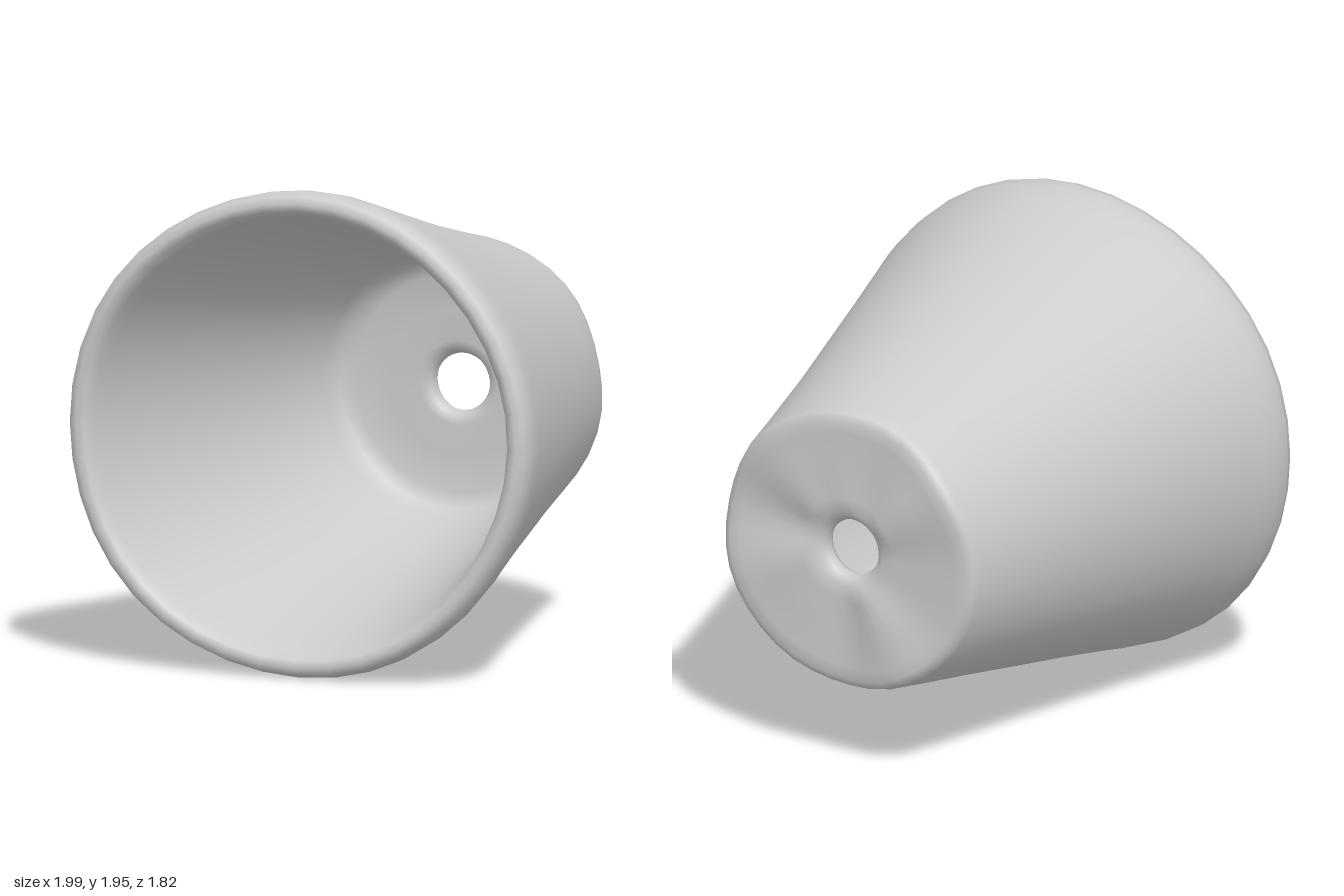
import * as THREE from 'three';
import { mergeVertices } from 'three/addons/utils/BufferGeometryUtils.js';

// Closed wall section [radius, position along axis]: back hole -> base -> outside -> rim -> inside -> floor
const SECTION = [
  [0.115, -0.82], [0.125, -0.85], [0.16, -0.875], [0.22, -0.885], [0.38, -0.885], [0.5, -0.89],
  [0.55, -0.89], [0.58, -0.875], [0.592, -0.84], [0.64, -0.63], [0.715, -0.3], [0.79, 0], [0.865, 0.3],
  [0.93, 0.55], [0.965, 0.68], [0.985, 0.77], [0.99, 0.83], [0.975, 0.875], [0.945, 0.89], [0.915, 0.88],
  [0.89, 0.84], [0.87, 0.75], [0.83, 0.6], [0.77, 0.35], [0.69, 0], [0.61, -0.35], [0.53, -0.66],
  [0.5, -0.73], [0.44, -0.76], [0.3, -0.77], [0.17, -0.77], [0.13, -0.785], [0.115, -0.82],
];

function potGeometry() {
  let geo = new THREE.LatheGeometry(SECTION.map(([r, t]) => new THREE.Vector2(r, t)), 40);
  geo.rotateX(Math.PI / 2); // lay the pot down, mouth towards +z
  geo.deleteAttribute('uv');
  geo.deleteAttribute('normal');
  geo = mergeVertices(geo, 1e-4);

  // Hand-thrown irregularity: oval, slightly tilted mouth and a dented base
  const p = geo.attributes.position;
  for (let i = 0; i < p.count; i++) {
    const x = p.getX(i), y = p.getY(i), z = p.getZ(i);
    const r = Math.hypot(x, y), a = Math.atan2(y, x);
    const front = THREE.MathUtils.smoothstep(z, -0.8, 0.9);
    const wobble = 1 + 0.004 * Math.sin(5 * a + 1) * front;
    let dz = -0.02 * y * front;
    if (z < -0.83 && r > 0.2) dz += 0.014 * Math.sin(4 * a + 0.6) + 0.006 * Math.sin(7 * a);
    p.setXYZ(i, x * wobble * (1 + 0.007 * front), y * wobble * (1 - 0.013 * front) + 0.95 + 0.03 * front, z + dz);
  }
  geo.computeVertexNormals();

  // Stand on the ground and centre
  geo.computeBoundingBox();
  const b = geo.boundingBox;
  geo.translate(-(b.min.x + b.max.x) / 2, -b.min.y, -(b.min.z + b.max.z) / 2);
  return geo;
}

export function createModel() {
  const group = new THREE.Group();
  group.name = 'flowerPot';
  const pot = new THREE.Mesh(potGeometry(), new THREE.MeshStandardMaterial({ color: 0xcccccc }));
  pot.name = 'potBody';
  group.add(pot);
  return group;
}
